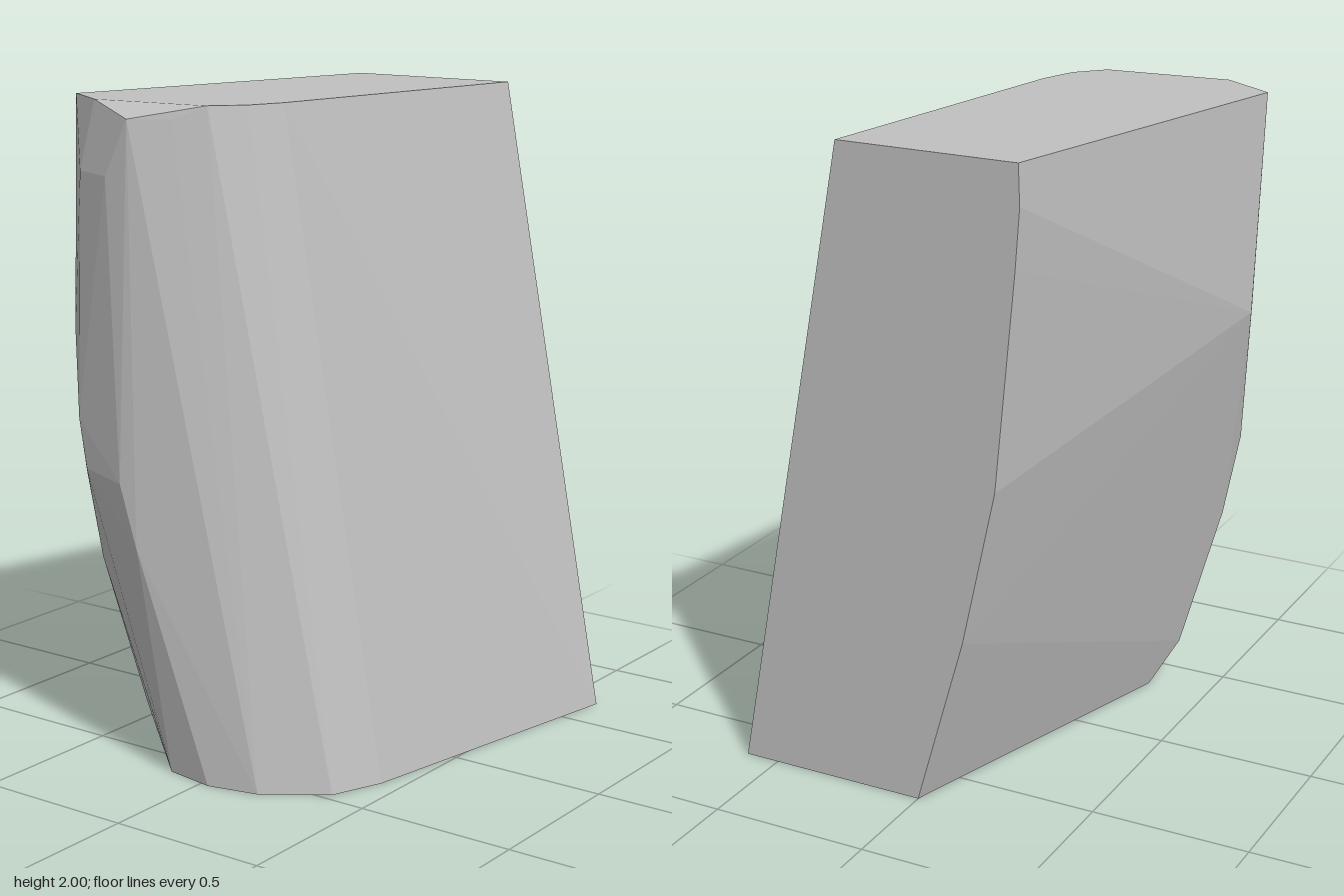
import * as THREE from 'three';
import { ConvexGeometry } from 'three/addons/geometries/ConvexGeometry.js';

export function createModel() {
  const group = new THREE.Group();
  group.name = 'leaningBlock';
  const stone = new THREE.MeshStandardMaterial({ color: 0xc0c0c0 });
  stone.name = 'paleGrey';

  // Flat bottom outline: x, z at y = 0
  const bottom = [[0.61, -0.67], [0.435, 0.31], [0.37, 0.47], [0.19, 0.595],
    [0.03, 0.63], [-0.13, 0.605], [-0.3, 0.345], [0, -0.67]];
  // Flat top outline: x, z at y = 2
  const top = [[0.23, -0.67], [0.075, 0.3], [0.035, 0.42], [-0.045, 0.505],
    [-0.44, 0.54], [-0.61, 0.43], [-0.34, -0.67]];
  // Bowed back edge: x, y at z = -0.67
  const backEdge = [[-0.157, 0.55], [-0.265, 1.04], [-0.33, 1.7], [-0.344, 1.88]];
  // Chipped corners of the front and the bowed side: x, y, z
  const chips = [
    [-0.245, 1.96, 0.625], [-0.13, 1.96, 0.56],
    [-0.48, 1.79, 0.565], [-0.33, 1.79, 0.625],
    [-0.61, 1.33, 0.36], [-0.545, 1.3, 0.53], [-0.475, 1.05, 0.6],
    [-0.26, 0.89, 0.667], [-0.2, 0.7, 0.667],
    [-0.53, 0.86, 0.51], [-0.44, 0.9, 0.61], [-0.48, 0.59, 0.5],
    [-0.365, 0.13, 0.44], [-0.285, 0.07, 0.49],
  ];

  const points = [
    ...bottom.map(([x, z]) => new THREE.Vector3(x, 0, z)),
    ...top.map(([x, z]) => new THREE.Vector3(x, 2, z)),
    ...backEdge.map(([x, y]) => new THREE.Vector3(x, y, -0.67)),
    ...chips.map((p) => new THREE.Vector3(...p)),
  ];

  // One faceted block wrapped around all corners
  const block = new THREE.Mesh(new ConvexGeometry(points), stone);
  block.name = 'facetedBlock';
  group.add(block);
  return group;
}
